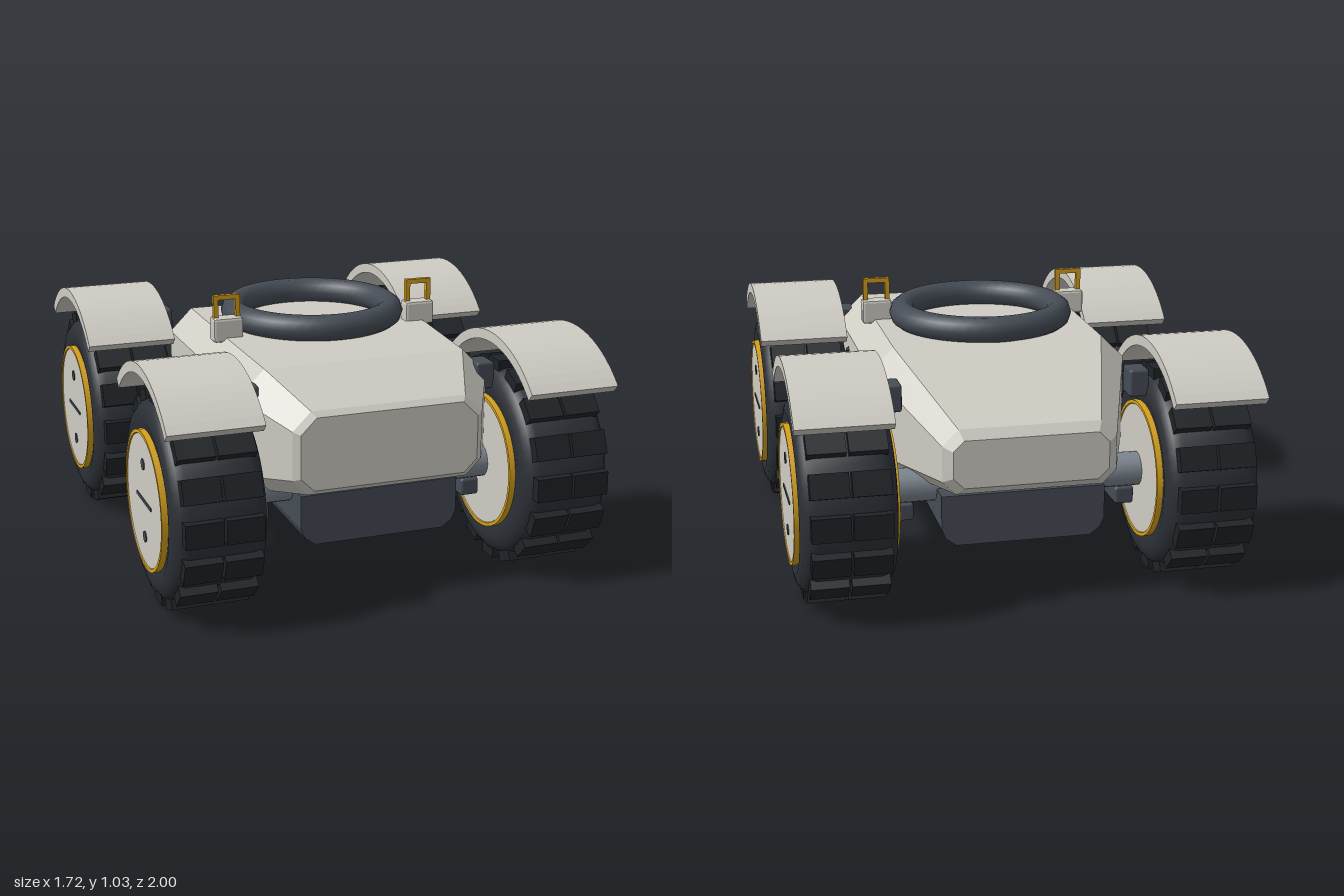
import * as THREE from 'three';
import { toCreasedNormals } from 'three/addons/utils/BufferGeometryUtils.js';
import { RoundedBoxGeometry } from 'three/addons/geometries/RoundedBoxGeometry.js';

const paint = (color, flatShading = false) => new THREE.MeshStandardMaterial({ color, flatShading });
const shell = paint(0xcfccc4, true);
const rubber = paint(0x2b3036);
const lugDark = paint(0x1f2327);
const slate = paint(0x454c55);
const steel = paint(0x7c858f);
const gold = paint(0xd4a01e);
const black = paint(0x17191c);

const WHEEL = { x: 0.671, y: 0.41, z: 0.595 };

function add(parent, name, geometry, material, x = 0, y = 0, z = 0) {
  const mesh = new THREE.Mesh(geometry, material);
  mesh.name = name;
  mesh.position.set(x, y, z);
  parent.add(mesh);
  return mesh;
}

const box = (w, h, d, r = 0.01) => new RoundedBoxGeometry(w, h, d, 1, r);

// Revolve a [radius, offset] profile around the x axis
function latheX(profile, segments) {
  const g = new THREE.LatheGeometry(profile.map(([r, a]) => new THREE.Vector2(r, a)), segments);
  return toCreasedNormals(g.rotateZ(-Math.PI / 2), 0.7);
}

// Hull skinned over eight-sided cross-sections along z
function hullGeometry() {
  // z, half width, bottom, top, bottom chamfer, top chamfer
  const sections = [
    [-0.87, 0.29, 0.48, 0.66, 0.04, 0.04],
    [-0.84, 0.325, 0.45, 0.695, 0.05, 0.06],
    [-0.33, 0.5, 0.4, 0.87, 0.06, 0.09],
    [0.2, 0.5, 0.4, 0.87, 0.06, 0.09],
    [0.59, 0.495, 0.4, 0.86, 0.06, 0.1],
    [0.83, 0.37, 0.445, 0.76, 0.06, 0.07],
    [0.85, 0.345, 0.465, 0.74, 0.05, 0.06],
  ];
  const positions = [];
  const index = [];
  for (const [z, w, b, t, cb, ct] of sections) {
    const ring = [[w - cb, b], [w, b + cb], [w, t - ct], [w - ct, t],
      [ct - w, t], [-w, t - ct], [-w, b + cb], [cb - w, b]];
    ring.forEach(([x, y]) => positions.push(x, y, z));
  }
  for (let s = 0; s < sections.length - 1; s++) {
    for (let i = 0; i < 8; i++) {
      const a = s * 8 + i, b = s * 8 + (i + 1) % 8;
      index.push(a, b, b + 8, a, b + 8, a + 8);
    }
  }
  const last = (sections.length - 1) * 8;
  for (let i = 1; i < 7; i++) {
    index.push(0, i + 1, i);
    index.push(last, last + i, last + i + 1);
  }
  const g = new THREE.BufferGeometry();
  g.setAttribute('position', new THREE.Float32BufferAttribute(positions, 3));
  g.setIndex(index);
  const flat = g.toNonIndexed();
  flat.computeVertexNormals();
  return flat;
}

// Outline in x and y, extruded along z and centred on it
function extrudeZ(shape, depth, curveSegments = 10) {
  const g = new THREE.ExtrudeGeometry(shape, { depth, curveSegments, bevelEnabled: false });
  return g.translate(0, 0, -depth / 2);
}

// Wheel with its outer face towards +x
function makeWheel() {
  const wheel = new THREE.Group();
  wheel.name = 'wheel';
  add(wheel, 'tire', latheX([[0.25, -0.165], [0.3, -0.177], [0.335, -0.17], [0.362, -0.15], [0.375, -0.12],
    [0.375, 0.12], [0.362, 0.15], [0.335, 0.17], [0.3, 0.177], [0.25, 0.165]], 48), rubber);
  add(wheel, 'rim', latheX([[0.246, -0.184], [0.25, -0.191], [0.263, -0.191], [0.263, 0.191],
    [0.25, 0.191], [0.246, 0.184]], 40), gold);
  add(wheel, 'hubDisc', latheX([[0, -0.187], [0.25, -0.187], [0.25, 0.187], [0, 0.187]], 40), shell);

  // Paired tread lugs
  const lug = new THREE.BoxGeometry(0.14, 0.07, 0.09);
  for (let i = 0; i < 16; i++) {
    const a = (i / 16) * Math.PI * 2;
    for (const x of [-0.0745, 0.0745]) {
      const m = add(wheel, 'treadLug', lug, lugDark, x, Math.cos(a) * 0.369, Math.sin(a) * 0.369);
      m.rotation.x = a;
    }
  }

  // Hub slot and bolts
  add(wheel, 'hubSlot', new THREE.BoxGeometry(0.01, 0.012, 0.205), slate, 0.186);
  for (const y of [-0.14, 0.14]) {
    const bolt = new THREE.CylinderGeometry(0.021, 0.021, 0.01, 16).rotateZ(Math.PI / 2);
    add(wheel, 'hubBolt', bolt, slate, 0.186, y);
  }
  return wheel;
}

// Quarter-circle mudguard concentric with the wheel
function fenderGeometry() {
  const s = new THREE.Shape();
  s.absarc(0, 0, 0.51, Math.PI / 4, Math.PI * 3 / 4, false);
  s.absarc(0, 0, 0.47, Math.PI * 3 / 4, Math.PI / 4, true);
  return extrudeZ(s, 0.354).rotateY(Math.PI / 2);
}

export function createModel() {
  const model = new THREE.Group();
  model.name = 'rover';

  add(model, 'hull', hullGeometry(), shell);

  // Belly pan with chamfered lower edges
  const pan = new THREE.Shape([[-0.31, 0.41], [-0.31, 0.28], [-0.295, 0.245], [-0.255, 0.215],
    [0.255, 0.215], [0.295, 0.245], [0.31, 0.28], [0.31, 0.41]].map(([x, y]) => new THREE.Vector2(x, y)));
  add(model, 'bellyPan', extrudeZ(pan, 1.5), slate);

  // Cushion ring on the deck
  add(model, 'deckRing', new THREE.TorusGeometry(0.313, 0.052, 10, 48).rotateX(Math.PI / 2), slate, 0, 0.912, 0);

  // Axles
  for (const z of [-WHEEL.z, WHEEL.z]) {
    add(model, 'axle', new THREE.CylinderGeometry(0.065, 0.065, 1.02, 20).rotateZ(Math.PI / 2), steel, 0, WHEEL.y, z);
  }

  const fender = fenderGeometry();
  for (const side of [-1, 1]) {
    // Wheels, fenders and their brackets
    for (const end of [-1, 1]) {
      const wheel = makeWheel();
      wheel.position.set(side * WHEEL.x, WHEEL.y, end * WHEEL.z);
      if (side < 0) wheel.rotation.y = Math.PI;
      model.add(wheel);
      add(model, 'fender', fender, shell, side * 0.685, WHEEL.y, end * WHEEL.z);
      add(model, 'fenderBracket', box(0.075, 0.105, 0.1), slate, side * 0.47, 0.762, end * WHEEL.z);
    }

    // Side rail under the axles
    add(model, 'sideRail', box(0.075, 0.07, 1.25, 0.012), slate, side * 0.428, 0.312, 0);

    // Side vents
    for (const z of [0, 0.088, 0.176, 0.264]) {
      add(model, 'vent', new THREE.CapsuleGeometry(0.013, 0.114, 3, 10), black, side * 0.5, 0.65, z);
    }

    // Deck latch with a gold loop
    add(model, 'latchBlock', box(0.12, 0.095, 0.065), shell, side * 0.4, 0.9, 0.14);
    for (const x of [-0.044, 0.044]) {
      add(model, 'latchPost', new THREE.BoxGeometry(0.018, 0.095, 0.02), gold, side * 0.4 + x, 0.987, 0.14);
    }
    add(model, 'latchBar', new THREE.BoxGeometry(0.106, 0.018, 0.02), gold, side * 0.4, 1.026, 0.14);
  }
  return model;
}
